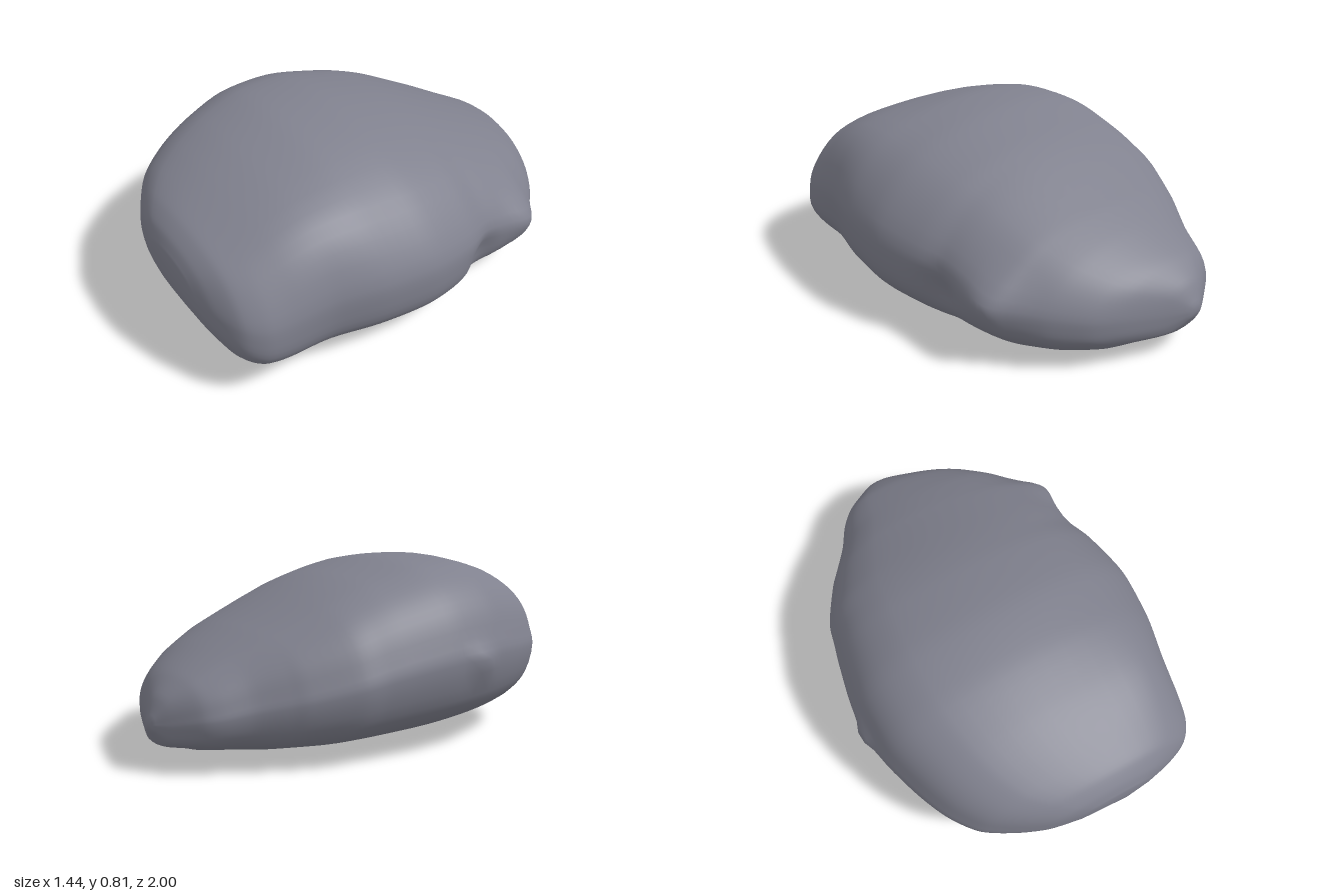
import * as THREE from 'three';

// Closed cross-section outline, seen from the front: [x, y]
const PROFILE = [
  [-0.71, 0.4], [-0.685, 0.49], [-0.64, 0.6], [-0.57, 0.685], [-0.48, 0.745], [-0.37, 0.785],
  [-0.1, 0.81], [0.2, 0.78], [0.45, 0.695], [0.6, 0.58], [0.71, 0.42], [0.725, 0.31],
  [0.71, 0.2], [0.65, 0.12], [0.55, 0.05], [0.4, 0.02], [0.1, 0.003], [-0.3, 0.04],
  [-0.5, 0.1], [-0.6, 0.155], [-0.67, 0.24],
];

// Extents along the length: [z, xMin, xMax, yMin, yMax]
const STATIONS = [
  [-0.995, -0.09, -0.03, 0.17, 0.22],
  [-0.95, -0.17, 0.08, 0.1, 0.3],
  [-0.88, -0.28, 0.26, 0.08, 0.365],
  [-0.82, -0.33, 0.37, 0.06, 0.405],
  [-0.71, -0.39, 0.49, 0.04, 0.47],
  [-0.6, -0.47, 0.565, 0.025, 0.53],
  [-0.53, -0.52, 0.605, 0.02, 0.565],
  [-0.36, -0.61, 0.645, 0.01, 0.65],
  [-0.25, -0.635, 0.66, 0.005, 0.7],
  [-0.13, -0.66, 0.695, 0.003, 0.743],
  [0.1, -0.695, 0.725, 0.006, 0.8],
  [0.34, -0.68, 0.695, 0.02, 0.807],
  [0.55, -0.615, 0.635, 0.04, 0.765],
  [0.7, -0.545, 0.61, 0.07, 0.715],
  [0.82, -0.45, 0.58, 0.115, 0.665],
  [0.9, -0.32, 0.52, 0.18, 0.625],
  [0.955, -0.19, 0.41, 0.255, 0.575],
  [0.985, -0.05, 0.3, 0.33, 0.52],
];

// Local swellings and dents: centre, radius, push
const BUMPS = [
  [[-0.7, 0.39, 0.22], 0.06, [-0.03, 0, 0]], // side knob
  [[0.62, 0.28, -0.53], 0.12, [0.055, 0, 0]], // rear lobe
  [[0.66, 0.21, -0.24], 0.1, [-0.045, 0, 0]], // notch ahead of the rear lobe
  [[0.48, 0.58, 0.57], 0.27, [0.03, 0.05, 0]], // front shoulder
  [[0.5, 0.22, 0.82], 0.18, [0.03, -0.01, 0.025]], // front lower corner
].map(([at, radius, push]) => ({
  at: new THREE.Vector3(...at), radius, push: new THREE.Vector3(...push),
}));

function rockGeometry(around, along) {
  const outline = new THREE.CatmullRomCurve3(
    PROFILE.map(([x, y]) => new THREE.Vector3((x + 0.71) / 1.435, (y - 0.003) / 0.807, 0)),
    true, 'centripetal');
  const spline = (f) => new THREE.CatmullRomCurve3(STATIONS.map(f), false, 'catmullrom', 0.4);
  const widths = spline(([z, a, b]) => new THREE.Vector3(a, b, z));
  const heights = spline(([z, , , a, b]) => new THREE.Vector3(a, b, z));

  const pos = [], index = [];
  const section = Array.from({ length: around }, (_, i) => outline.getPoint(i / around));

  // Rings from the low tail to the blunt front
  for (let j = 0; j <= along; j++) {
    const w = widths.getPoint(j / along), h = heights.getPoint(j / along);
    for (const s of section) {
      const p = new THREE.Vector3(
        THREE.MathUtils.lerp(w.x, w.y, s.x), THREE.MathUtils.lerp(h.x, h.y, s.y), w.z);
      for (const b of BUMPS) {
        p.addScaledVector(b.push, Math.exp(-p.distanceToSquared(b.at) / (b.radius * b.radius)));
      }
      pos.push(p.x, p.y, p.z);
    }
  }
  // The outline runs clockwise seen from the front
  for (let j = 0; j < along; j++) {
    for (let i = 0; i < around; i++) {
      const k = (i + 1) % around;
      const a = j * around + i, b = j * around + k, c = a + around, d = b + around;
      index.push(a, c, b, b, c, d);
    }
  }
  // End tips
  const tail = pos.length / 3, nose = tail + 1, last = along * around;
  pos.push(-0.06, 0.195, -1, 0.17, 0.43, 1);
  for (let i = 0; i < around; i++) {
    const k = (i + 1) % around;
    index.push(tail, i, k, nose, last + k, last + i);
  }

  const g = new THREE.BufferGeometry();
  g.setAttribute('position', new THREE.Float32BufferAttribute(pos, 3));
  g.setIndex(index);
  g.computeVertexNormals();
  return g;
}

export function createModel() {
  const group = new THREE.Group();
  group.name = 'rock';
  const stone = new THREE.Mesh(
    rockGeometry(60, 85), new THREE.MeshStandardMaterial({ color: 0x80818e }));
  stone.name = 'stone';
  group.add(stone);
  return group;
}
